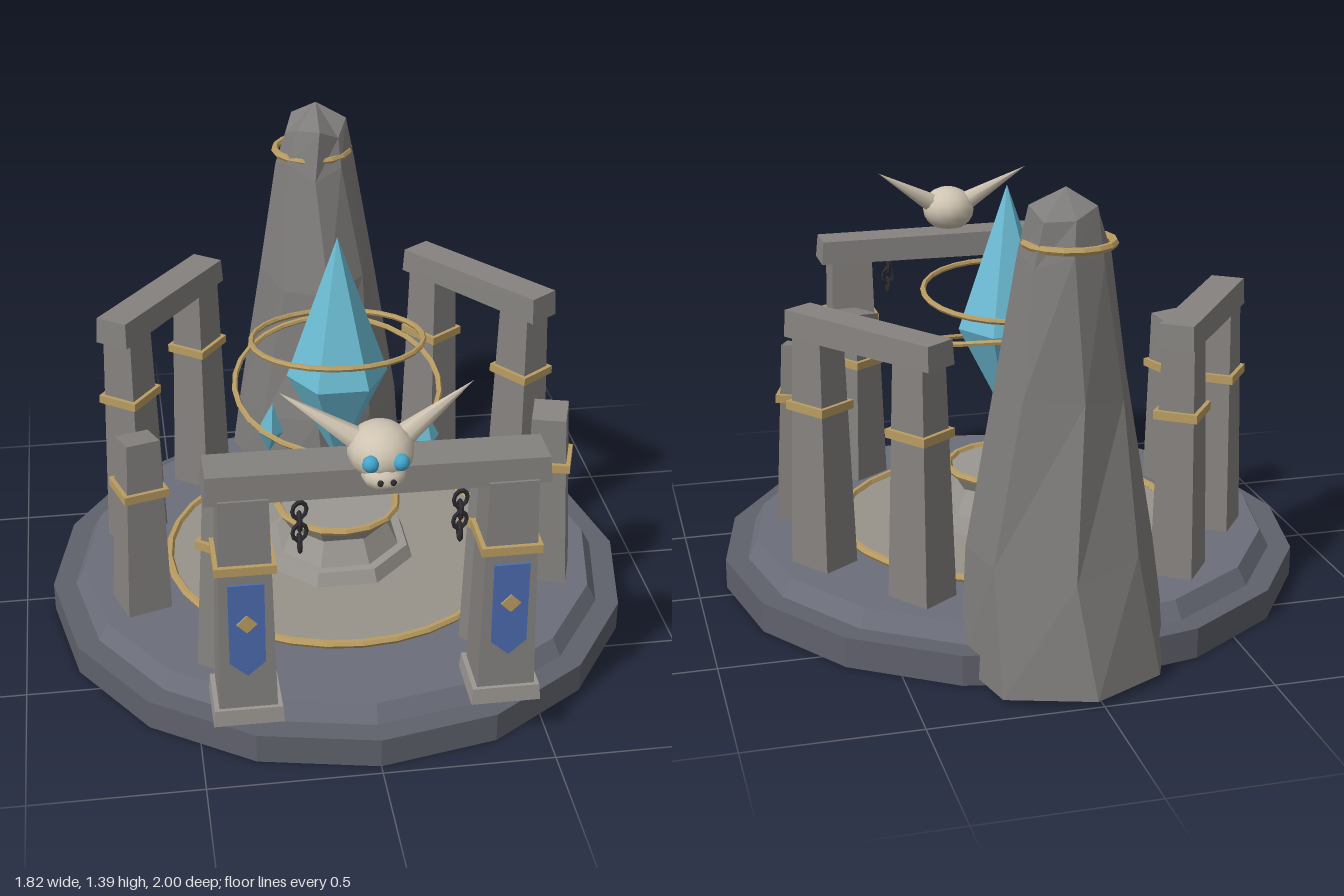
import * as THREE from 'three';

const CZ = 0.06; // centre of the platform along z
const mat = (color, extra = {}) => new THREE.MeshStandardMaterial({ color, flatShading: true, ...extra });
const M = {
  base: mat(0x5f616b), step: mat(0x6c6f7a), floor: mat(0x98928a), stone: mat(0x85827f),
  lightStone: mat(0x9b9792), rock: mat(0x7f7d7b), gold: mat(0xb99c62), crystal: mat(0x6cbcd4),
  bone: mat(0xcfc4b2, { flatShading: false }), dark: mat(0x2c2c30), eye: mat(0x45a6cc, { flatShading: false }),
  cloth: mat(0x4c6bb0, { side: THREE.DoubleSide }),
};

function add(parent, name, geo, material, x = 0, y = 0, z = 0) {
  const m = new THREE.Mesh(geo, material);
  m.name = name;
  m.position.set(x, y, z);
  parent.add(m);
  return m;
}

function group(parent, name, x = 0, y = 0, z = 0) {
  const g = new THREE.Group();
  g.name = name;
  g.position.set(x, y, z);
  parent.add(g);
  return g;
}

// Flat-lying ring
function ring(parent, name, r, tube, x, y, z, sides = 24, material = M.gold) {
  return add(parent, name, new THREE.TorusGeometry(r, tube, 6, sides).rotateX(Math.PI / 2), material, x, y, z);
}

// Square block standing on y = 0 that narrows upward, with an optional sloping top
function taperedBlock(w, h, d, taper, slope = 0) {
  const g = new THREE.BoxGeometry(w, h, d).translate(0, h / 2, 0);
  const p = g.attributes.position;
  for (let i = 0; i < p.count; i++) {
    if (p.getY(i) < h / 2) continue;
    p.setXYZ(i, p.getX(i) * taper, h + slope * Math.sign(p.getX(i)), p.getZ(i) * taper);
  }
  g.computeVertexNormals();
  return g;
}

// Standing stone with a gold band
function pillar(parent, name, x, z, w, d, y0, y1, taper, bandY, angle = 0, slope = 0) {
  const g = group(parent, name, x, y0, z);
  g.rotation.y = angle;
  add(g, 'shaft', taperedBlock(w, y1 - y0, d, taper, slope), M.stone);
  const k = 1 + (taper - 1) * (bandY - y0) / (y1 - y0);
  add(g, 'band', new THREE.BoxGeometry(w * k + 0.025, 0.026, d * k + 0.025), M.gold, 0, bandY - y0, 0);
  return g;
}

// Lintel with slightly uneven ends
function lintel(parent, length, h, depth) {
  const g = new THREE.BoxGeometry(length, h, depth);
  const p = g.attributes.position;
  for (let i = 0; i < p.count; i++) {
    if (p.getY(i) > 0) p.setXYZ(i, p.getX(i) * 0.985, p.getY(i) - (p.getX(i) > 0 ? 0.008 : 0), p.getZ(i) * 0.94);
  }
  g.computeVertexNormals();
  return add(parent, 'lintel', g, M.stone);
}

// Pointed six- or five-sided gem, widest at y = 0
function gem(parent, name, r, up, down, sides, x, y, z) {
  const g = new THREE.LatheGeometry(
    [new THREE.Vector2(0, -down), new THREE.Vector2(r, 0), new THREE.Vector2(0, up)], sides, Math.PI / 6);
  return add(parent, name, g, M.crystal, x, y, z);
}

// Faceted boulder from stacked irregular rings
function boulderGeometry() {
  const lobes = [0.97, 0.9, 1.06, 0.94, 0.95, 0.95, 1.02, 1.1];
  const rings = [ // y, centre x, centre z, radius, twist
    [0.02, 0.02, -0.68, 0, 0], [0.02, 0.02, -0.68, 0.32, 0], [0.36, 0.03, -0.655, 0.28, 0.12],
    [0.82, 0.03, -0.64, 0.205, -0.05], [1.2, 0.025, -0.665, 0.135, 0.1],
    [1.32, 0.03, -0.675, 0.105, 0], [1.39, 0.035, -0.7, 0, 0]];
  const at = (k, i) => {
    const [y, cx, cz, r, twist] = rings[k], n = i % 8, a = n * Math.PI / 4 + twist;
    const s = r * lobes[n];
    const wobble = k > 1 && k < 6 ? 0.025 * Math.sin(n * 2.3 + k * 1.7) : 0;
    return [cx + s * Math.cos(a), y + (r ? wobble : 0), cz + s * Math.sin(a)];
  };
  const v = [];
  for (let k = 0; k < rings.length - 1; k++) for (let i = 0; i < 8; i++) {
    v.push(...at(k, i), ...at(k + 1, i), ...at(k, i + 1));
    v.push(...at(k, i + 1), ...at(k + 1, i), ...at(k + 1, i + 1));
  }
  const g = new THREE.BufferGeometry();
  g.setAttribute('position', new THREE.Float32BufferAttribute(v, 3));
  g.computeVertexNormals();
  return g;
}

function bannerGeometry() {
  const s = new THREE.Shape();
  s.moveTo(-0.05, 0.61); s.lineTo(-0.05, 0.355); s.lineTo(0, 0.31); s.lineTo(0.05, 0.355); s.lineTo(0.05, 0.61);
  return new THREE.ExtrudeGeometry(s, { depth: 0.008, bevelEnabled: false });
}

export function createModel() {
  const model = new THREE.Group();
  model.name = 'shrine';

  // Stepped platform
  const platform = group(model, 'platform', 0, 0, CZ);
  add(platform, 'baseTier', new THREE.CylinderGeometry(0.91, 0.91, 0.092, 16), M.base, 0, 0.046, 0);
  add(platform, 'upperTier', new THREE.CylinderGeometry(0.81, 0.84, 0.056, 16), M.step, 0, 0.118, 0);
  add(platform, 'floor', new THREE.CylinderGeometry(0.54, 0.54, 0.015, 24), M.floor, 0, 0.15, 0);
  ring(platform, 'floorRing', 0.538, 0.013, 0, 0.159, 0, 32);

  // Altar
  const altar = group(model, 'altar', 0, 0, CZ);
  const slabs = [[0.23, 0.25, 0.15, 0.2], [0.16, 0.2, 0.2, 0.28], [0.2, 0.17, 0.28, 0.33]];
  slabs.forEach(([top, bottom, y0, y1], i) =>
    add(altar, 'altarStep' + i, new THREE.CylinderGeometry(top, bottom, y1 - y0, 8).rotateY(Math.PI / 8),
      M.lightStone, 0, (y0 + y1) / 2, 0));
  ring(altar, 'altarRing', 0.19, 0.012, 0, 0.33, 0, 16);

  // Floating crystals and their orbit rings
  const floating = group(model, 'floatingCrystals');
  gem(floating, 'mainCrystal', 0.156, 0.45, 0.31, 6, 0, 0.79, CZ);
  [[-0.04, 0.76, -0.22], [0.26, 0.61, 0.17], [-0.225, 0.7, 0.225]].forEach(([x, y, z], i) => {
    const s = gem(floating, 'crystalShard' + i, 0.04, 0.1, 0.09, 5, x, y, z);
    s.rotation.set(0.1, i, 0.12);
  });
  ring(floating, 'upperOrbit', 0.262, 0.009, 0, 0.905, CZ, 28).rotation.x = -0.12;
  ring(floating, 'lowerOrbit', 0.315, 0.009, 0, 0.752, CZ, 28).rotation.x = 0.25;

  // Boulder at the back
  const boulder = group(model, 'boulder');
  add(boulder, 'boulderRock', boulderGeometry(), M.rock);
  ring(boulder, 'boulderRing', 0.123, 0.012, 0.02, 1.235, -0.685, 16);

  // Front gate
  const gate = group(model, 'frontGate');
  lintel(gate, 0.945, 0.085, 0.135).position.set(0, 0.89, 0.81);
  for (const s of [-1, 1]) {
    const x = s * 0.367;
    pillar(gate, 'gatePillar', x, 0.82, 0.165, 0.155, 0.19, 0.86, 0.83, 0.65);
    add(gate, 'plinth', taperedBlock(0.2, 0.05, 0.185, 0.96), M.lightStone, x, 0.145, 0.82);
    add(gate, 'banner', bannerGeometry(), M.cloth, x, 0, 0.9);
    add(gate, 'bannerEmblem', new THREE.BoxGeometry(0.04, 0.04, 0.006).rotateZ(Math.PI / 4), M.gold, x, 0.485, 0.91);
    for (let i = 0; i < 4; i++) {
      const link = add(gate, 'chainLink', new THREE.TorusGeometry(0.02, 0.006, 5, 10).scale(1, 1.25, 1),
        M.dark, s * 0.218, 0.825 - i * 0.034, 0.89);
      link.rotation.y = i % 2 ? Math.PI / 2 : 0.2;
    }
  }

  // Side gates and short standing stones, mirrored
  for (const s of [-1, 1]) {
    const side = group(model, s < 0 ? 'rightGate' : 'leftGate', s * 0.512, 0, -0.31);
    side.rotation.y = s < 0 ? 0.942 : Math.PI - 0.942;
    lintel(side, 0.57, 0.082, 0.11).position.y = 0.898;
    for (const e of [-1, 1]) pillar(side, 'gatePillar', e * 0.2, 0, 0.15, 0.13, 0.145, 0.86, 0.76, 0.65);

    for (const [x, z] of [[0.635, 0.265], [0.393, 0.597]]) {
      const stone = pillar(model, 'standingStone', s * x, z, 0.14, 0.14, 0.145, 0.72, 0.74, 0.555,
        Math.atan2(s * x, z - CZ), 0.008);
      stone.rotateX(-0.02);
    }
  }

  // Horned skull on the front lintel
  const skull = group(model, 'skull', 0, 0.99, 0.88);
  add(skull, 'cranium', new THREE.SphereGeometry(1, 14, 10).scale(0.09, 0.076, 0.1), M.bone);
  add(skull, 'snout', new THREE.SphereGeometry(1, 12, 8).scale(0.06, 0.042, 0.06), M.bone, 0, -0.043, 0.052);
  for (const s of [-1, 1]) {
    add(skull, 'eye', new THREE.SphereGeometry(0.023, 10, 8), M.eye, s * 0.04, 0.008, 0.088);
    add(skull, 'nostril', new THREE.SphereGeometry(0.009, 6, 5), M.dark, s * 0.017, -0.04, 0.108);
    const from = new THREE.Vector3(s * 0.06, 0.025, -0.015), dir = new THREE.Vector3(s * 0.2, 0.125, -0.055);
    const horn = add(skull, 'horn', new THREE.ConeGeometry(0.034, dir.length(), 7), M.bone);
    horn.position.copy(from).addScaledVector(dir, 0.5);
    horn.quaternion.setFromUnitVectors(new THREE.Vector3(0, 1, 0), dir.clone().normalize());
  }

  return model;
}
